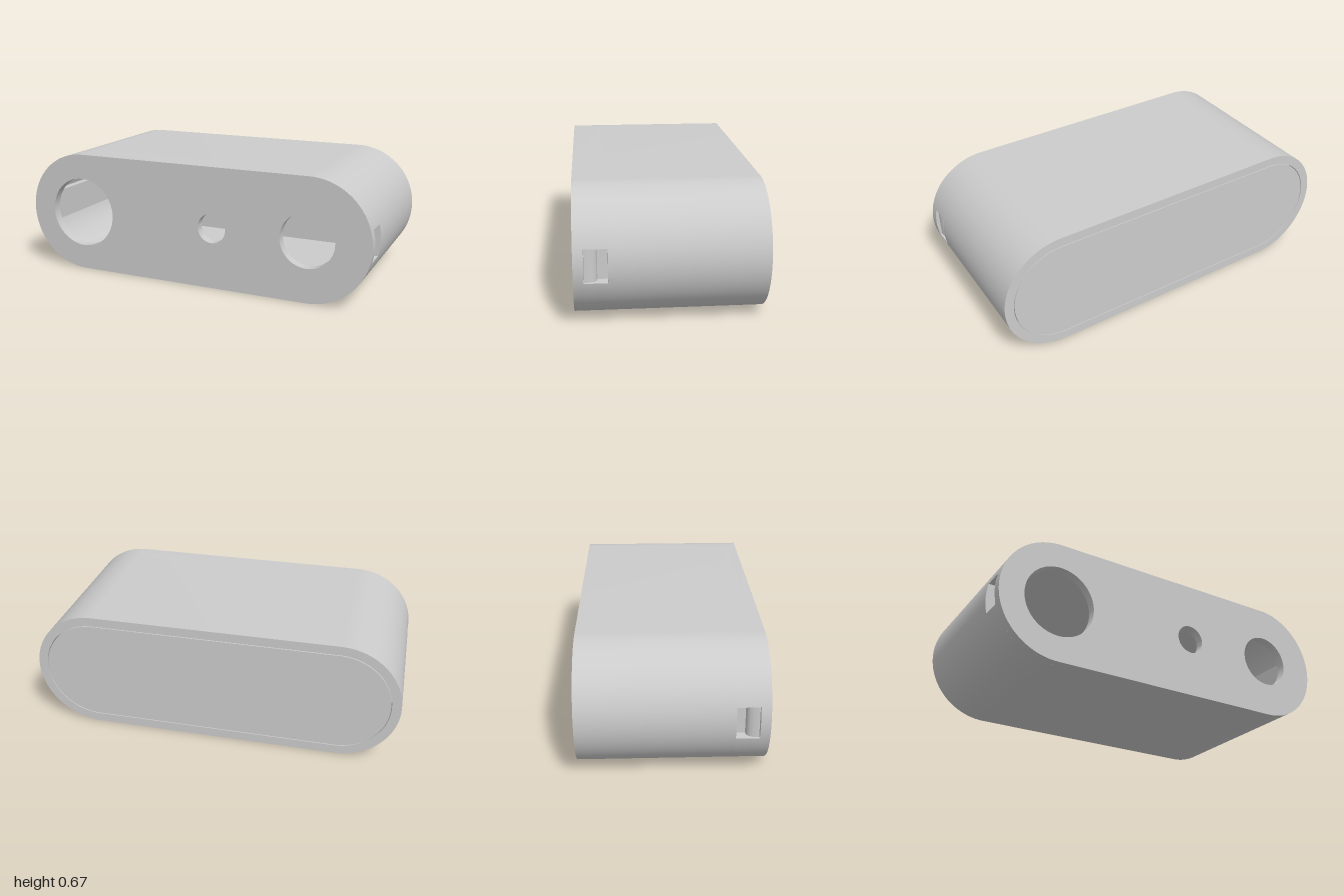
import * as THREE from 'three';
import { toCreasedNormals } from 'three/addons/utils/BufferGeometryUtils.js';

const R = 0.333, CX = 0.667, WALL = 0.05, HALF_D = 0.47;
const SLOT_H = 0.085, SLOT_BACK = 0.305, SLOT_FRONT = 0.42;
const material = new THREE.MeshStandardMaterial({ color: 0xcccccc });

// Rounded-end outline, centred on the origin
function stadium(r, Type = THREE.Shape) {
  const s = new Type();
  s.absarc(CX, 0, r, -Math.PI / 2, Math.PI / 2, false);
  s.absarc(-CX, 0, r, Math.PI / 2, Math.PI * 1.5, false);
  s.closePath();
  return s;
}

function slab(name, shape, z0, z1) {
  const g = new THREE.ExtrudeGeometry(shape, { depth: z1 - z0, bevelEnabled: false, curveSegments: 32 });
  g.translate(0, 0, z0);
  const mesh = new THREE.Mesh(toCreasedNormals(g, 0.5), material);
  mesh.name = name;
  return mesh;
}

export function createModel() {
  const model = new THREE.Group();
  model.name = 'enclosure';
  const body = new THREE.Group();
  body.name = 'body';
  body.position.y = R;
  model.add(body);

  // Front wall with three round openings
  const front = stadium(R);
  for (const [x, r] of [[-0.67, 0.195], [0.135, 0.08], [0.665, 0.147]]) {
    front.holes.push(new THREE.Path().absarc(x, 0, r, 0, Math.PI * 2, true));
  }
  body.add(slab('frontWall', front, SLOT_FRONT, HALF_D));

  // Hollow sleeve behind the side slots
  const inner = R - WALL;
  const ring = stadium(R);
  ring.holes.push(stadium(inner, THREE.Path));
  body.add(slab('sleeve', ring, -HALF_D, SLOT_BACK));

  // Upper and lower wall halves, leaving a slot at each end
  const a = Math.asin(SLOT_H / R), b = Math.asin(SLOT_H / inner);
  const half = new THREE.Shape();
  half.absarc(CX, 0, R, a, Math.PI / 2, false);
  half.absarc(-CX, 0, R, Math.PI / 2, Math.PI - a, false);
  half.absarc(-CX, 0, inner, Math.PI - b, Math.PI / 2, true);
  half.absarc(CX, 0, inner, Math.PI / 2, b, true);
  half.closePath();
  for (const [name, turn] of [['upperSlotWall', 0], ['lowerSlotWall', Math.PI]]) {
    const wall = slab(name, half, SLOT_BACK, SLOT_FRONT);
    wall.rotation.z = turn;
    body.add(wall);
  }

  // Back lid, flush with the sleeve and separated by a fine gap
  body.add(slab('backLid', stadium(inner - 0.004), -HALF_D, -HALF_D + WALL));

  // Snap arms on the lid, with a rounded catch in each slot
  const arm = new THREE.Shape();
  arm.moveTo(0.895, 0.43);
  arm.lineTo(0.895, -0.418);
  arm.lineTo(0.98, -0.418);
  arm.quadraticCurveTo(0.98, -0.355, 0.935, -0.355);
  arm.lineTo(0.935, 0.43);
  arm.closePath();
  const armGeo = new THREE.ExtrudeGeometry(arm, { depth: 2 * SLOT_H - 0.002, bevelEnabled: false, curveSegments: 16 });
  armGeo.rotateX(-Math.PI / 2).translate(0, -SLOT_H + 0.001, 0);
  const armSmooth = toCreasedNormals(armGeo, 0.5);
  for (const [name, turn] of [['leftSnapArm', 0], ['rightSnapArm', Math.PI]]) {
    const mesh = new THREE.Mesh(armSmooth, material);
    mesh.name = name;
    mesh.rotation.z = turn;
    body.add(mesh);
  }
  return model;
}
